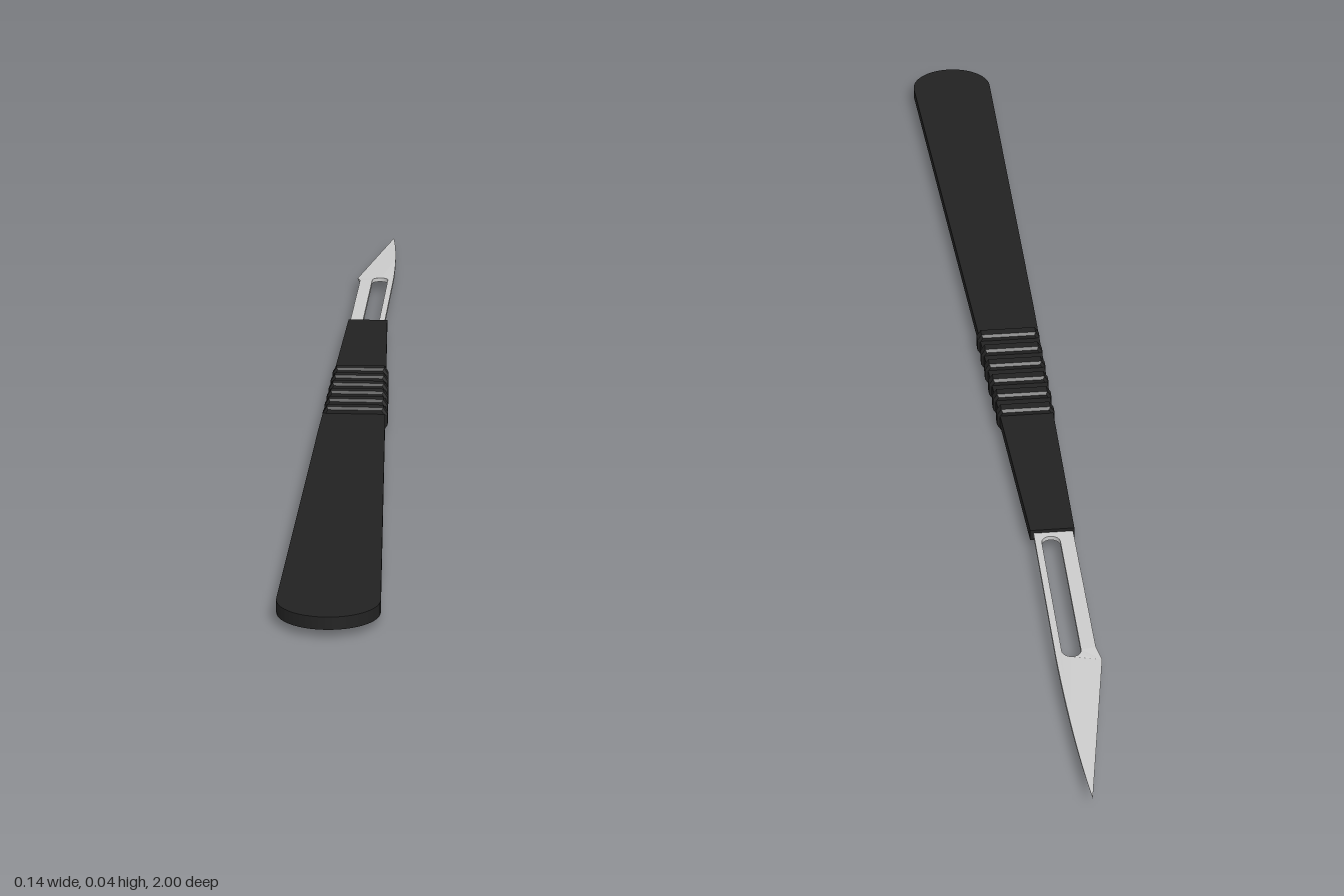
import * as THREE from 'three';

const MID = 0.021; // height of the flat mid-plane

// Extrudes an outline drawn in (x, z) into a plate centred on the mid-plane
function plate(shape, thickness) {
  const geo = new THREE.ExtrudeGeometry(shape, { depth: thickness, bevelEnabled: false, curveSegments: 12 });
  geo.rotateX(Math.PI / 2);
  geo.translate(0, thickness / 2, 0);
  return geo;
}

function addMesh(group, name, geo, material, y = MID) {
  const mesh = new THREE.Mesh(geo, material);
  mesh.name = name;
  mesh.position.y = y;
  group.add(mesh);
  return mesh;
}

// Tapered side of the handle
const rightEdge = z => 0.001 + (z + 0.41) * 0.0505;

export function createModel() {
  const model = new THREE.Group();
  model.name = 'scalpel';
  const dark = new THREE.MeshStandardMaterial({ color: 0x222222, flatShading: true });
  const steel = new THREE.MeshStandardMaterial({ color: 0xcccccc, flatShading: true });

  // Handle: widening flat bar with a rounded end
  const bar = new THREE.Shape();
  bar.moveTo(-0.066, -0.41);
  bar.lineTo(rightEdge(-0.41), -0.41);
  bar.lineTo(0.069, 0.935);
  bar.absellipse(-0.001, 0.935, 0.07, 0.065, 0, Math.PI, false);
  bar.lineTo(-0.071, 0.2);
  bar.closePath();
  addMesh(model, 'handle', plate(bar, 0.018), dark);

  // Grip ribs: chamfered bands around the handle
  const ribs = new THREE.Group();
  ribs.name = 'gripRibs';
  model.add(ribs);
  const bevel = 0.004;
  for (let i = 0; i < 6; i++) {
    const z = 0.112 - i * 0.0424;
    const l = -0.071 + bevel, r = rightEdge(z) + 0.004 - bevel;
    const h = 0.02 - bevel, c = 0.005;
    const band = new THREE.Shape([
      [l + c, -h], [r - c, -h], [r, -0.008], [r, 0.008],
      [r - c, h], [l + c, h], [l, 0.008], [l, -0.008],
    ].map(([x, y]) => new THREE.Vector2(x, y)));
    const geo = new THREE.ExtrudeGeometry(band, {
      depth: 0.014, bevelEnabled: true, bevelThickness: bevel, bevelSize: bevel, bevelSegments: 1,
    });
    geo.translate(0, 0, z - 0.007);
    addMesh(ribs, 'gripRib', geo, dark, 0.02);
  }

  // Blade: slotted shank, straight cutting edge and curved spine
  const outline = new THREE.Shape();
  outline.moveTo(-0.064, -0.4);
  outline.lineTo(-0.064, -0.685);
  outline.lineTo(-0.07, -0.71);
  outline.lineTo(-0.02, -1);
  outline.quadraticCurveTo(-0.006, -0.88, -0.004, -0.7);
  outline.lineTo(-0.004, -0.4);
  outline.closePath();

  // Slot with rounded ends
  const slot = new THREE.Path();
  const sx = -0.028, sr = 0.014;
  slot.absarc(sx, -0.434, sr, 0, Math.PI, false);
  slot.absarc(sx, -0.689, sr, Math.PI, Math.PI * 2, false);
  slot.closePath();
  outline.holes.push(slot);
  const bladeGeo = plate(outline, 0.007);

  // Thin the plate towards the cutting edge and the point
  const p = bladeGeo.attributes.position;
  for (let i = 0; i < p.count; i++) {
    const x = p.getX(i), z = p.getZ(i);
    let k = 1;
    if (z < -0.82) k = Math.max(0.1, (z + 1) / 0.18);
    if (z < -0.705 && x < -0.06) k = 0.1;
    p.setY(i, p.getY(i) * k);
  }
  bladeGeo.computeVertexNormals();
  addMesh(model, 'blade', bladeGeo, steel);

  return model;
}
